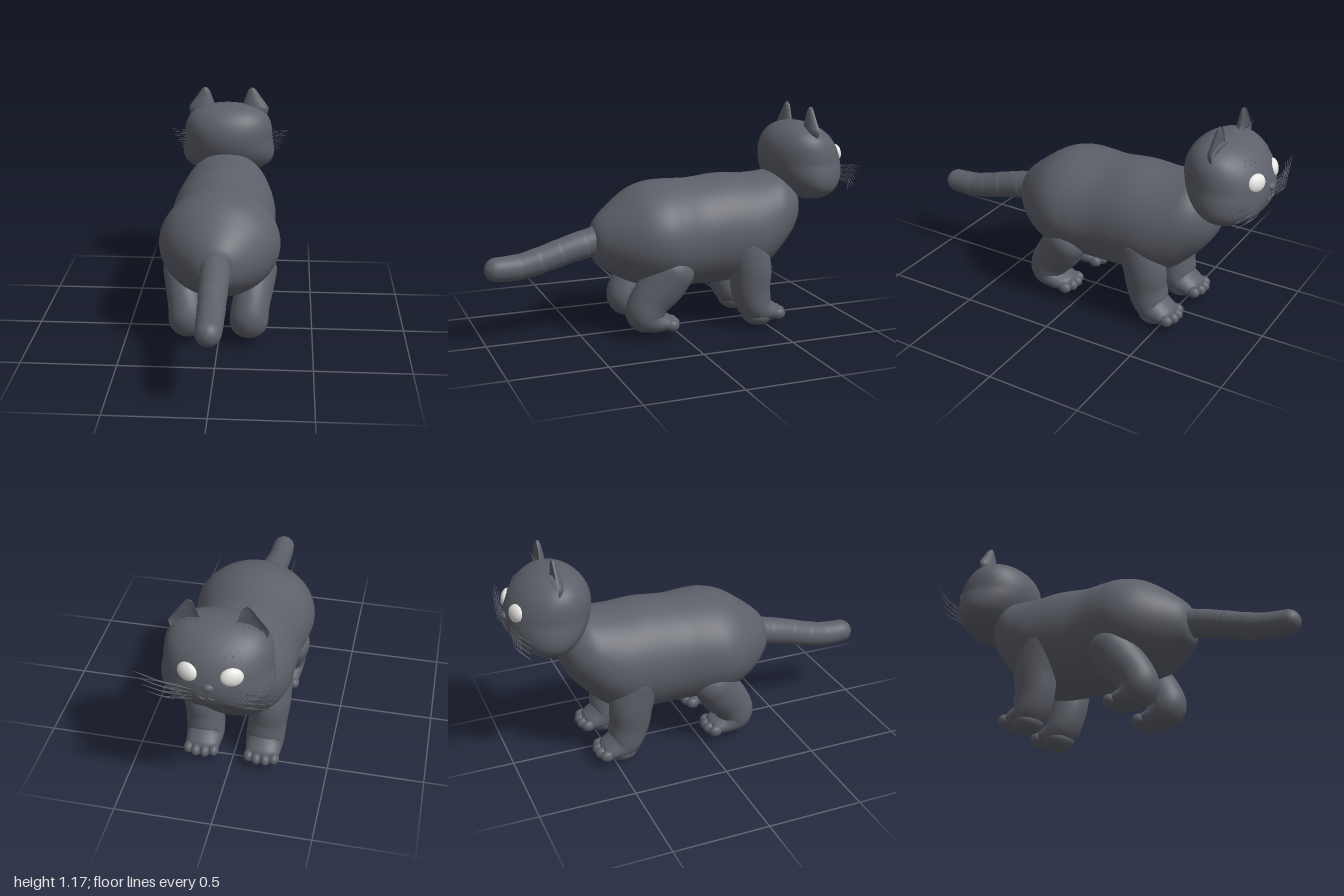
import * as THREE from 'three';

const fur = new THREE.MeshStandardMaterial({ color: 0x5d6069 });
fur.name = 'slateFur';
const white = new THREE.MeshStandardMaterial({ color: 0xe6e5e2 });
white.name = 'eyeWhite';

const V3 = (x, y, z) => new THREE.Vector3(x, y, z);

function add(parent, name, geometry, material = fur) {
  const mesh = new THREE.Mesh(geometry, material);
  mesh.name = name;
  parent.add(mesh);
  return mesh;
}

// Smooth skin over elliptical sections [x, y, z, halfWidth, halfDepth].
// axis fixes the section plane, caps rounds the ends, scoop hollows one side.
function loft(sections, { axis, caps = true, scoop = false, steps = 6, sides = 36 } = {}) {
  const path = new THREE.CatmullRomCurve3(sections.map(s => V3(s[0], s[1], s[2])), false, 'catmullrom');
  const radii = new THREE.CatmullRomCurve3(sections.map(s => V3(s[3], s[4], 0)), false, 'catmullrom');
  const n = (sections.length - 1) * steps, rings = [];
  const ring = (t, shift, scale) => {
    const T = axis ? axis.clone() : path.getTangent(t);
    const r = radii.getPoint(t);
    const c = path.getPoint(t).addScaledVector(T, shift * Math.min(r.x, r.y));
    rings.push({ c, T, u: Math.max(r.x, 0) * scale, v: Math.max(r.y, 0) * scale });
  };
  const capSteps = 7;
  if (caps) for (let i = 0; i < capSteps; i++) {
    const a = i / capSteps * Math.PI / 2;
    ring(0, -Math.cos(a), Math.sin(a));
  }
  for (let i = 0; i <= n; i++) ring(i / n, 0, 1);
  if (caps) for (let i = capSteps - 1; i >= 0; i--) {
    const a = i / capSteps * Math.PI / 2;
    ring(1, Math.cos(a), Math.sin(a));
  }
  const pos = [], index = [];
  rings.forEach(({ c, T, u, v }, i) => {
    const X = V3(1, 0, 0).addScaledVector(T, -T.x).normalize();
    const Y = T.clone().cross(X);
    for (let j = 0; j < sides; j++) {
      const a = j / sides * Math.PI * 2;
      const s = Math.sin(a) * (scoop && Math.sin(a) > 0 ? -0.4 : 1);
      const p = c.clone().addScaledVector(X, u * Math.cos(a)).addScaledVector(Y, v * s);
      pos.push(p.x, p.y, p.z);
      if (i === rings.length - 1) continue;
      const k = (j + 1) % sides, A = i * sides + j, B = i * sides + k;
      index.push(A, B, A + sides, B, B + sides, A + sides);
    }
  });
  const g = new THREE.BufferGeometry();
  g.setAttribute('position', new THREE.Float32BufferAttribute(pos, 3));
  g.setIndex(index);
  g.computeVertexNormals();
  return g;
}

// Head shape: a ball with wide cheeks, leaning forward at the chin
const headY = 0.87, headR = 0.215;
const headWidth = u => 0.257 + 0.1 * u * u - 0.05 * Math.min(u, 0);
const headMid = u => -0.767 + 0.035 * u;
function headFront(x, y) {
  const u = (y - headY) / headR, w = x / headWidth(u);
  return headMid(u) - headR * Math.sqrt(Math.max(0, 1 - u * u - w * w));
}
function headGeometry() {
  const g = new THREE.SphereGeometry(1, 56, 40), p = g.attributes.position;
  for (let i = 0; i < p.count; i++) {
    const u = p.getY(i);
    p.setXYZ(i, p.getX(i) * headWidth(u), headY + headR * u, headMid(u) + headR * p.getZ(i));
  }
  g.computeVertexNormals();
  return g;
}

const tube = (points, r, n = 12) => new THREE.TubeGeometry(new THREE.CatmullRomCurve3(points), n, r, 6);

function ellipsoid(parent, name, at, size, material) {
  const m = add(parent, name, new THREE.SphereGeometry(1, 24, 16), material);
  m.position.set(...at);
  m.scale.set(...size);
  return m;
}

function createModel() {
  const cat = new THREE.Group();
  cat.name = 'cat';

  // Body: [z, top, bottom, half width]
  const profile = [
    [0.44, 0.505, 0.495, 0.005], [0.425, 0.58, 0.42, 0.075], [0.39, 0.635, 0.375, 0.135],
    [0.3, 0.71, 0.31, 0.225], [0.2, 0.775, 0.265, 0.292], [0.1, 0.803, 0.245, 0.32],
    [0, 0.807, 0.235, 0.31], [-0.12, 0.805, 0.23, 0.29], [-0.28, 0.82, 0.23, 0.29],
    [-0.42, 0.812, 0.245, 0.285], [-0.52, 0.815, 0.3, 0.265], [-0.6, 0.82, 0.375, 0.235],
    [-0.67, 0.785, 0.455, 0.185], [-0.715, 0.725, 0.535, 0.115], [-0.735, 0.64, 0.625, 0.01],
  ];
  add(cat, 'body', loft(profile.map(([z, t, b, w]) => [0, (t + b) / 2, z, w, (t - b) / 2]),
    { axis: V3(0, 0, -1), sides: 56, caps: false }));

  // Tail made of slightly overlapping bands
  const tailPath = new THREE.CatmullRomCurve3([V3(0, 0.515, 0.38), V3(0, 0.475, 0.55),
    V3(0, 0.432, 0.7), V3(0, 0.406, 0.82), V3(0, 0.403, 0.932)]);
  const tail = new THREE.Group();
  tail.name = 'tail';
  cat.add(tail);
  const cuts = [0, 0.17, 0.41, 0.61, 0.8, 1];
  for (let i = 0; i < 5; i++) {
    const sec = [0, 0.5, 1].map(k => {
      const t = cuts[i] + (cuts[i + 1] - cuts[i]) * k, p = tailPath.getPointAt(t);
      const r = 0.078 - 0.013 * t - 0.002 * k;
      return [p.x, p.y, p.z, r, r];
    });
    add(tail, 'tailBand', loft(sec, { sides: 28 }));
  }

  // Head, nose and mouth
  const head = new THREE.Group();
  head.name = 'head';
  cat.add(head);
  add(head, 'skull', headGeometry());
  ellipsoid(head, 'nose', [0, 0.86, -0.98], [0.028, 0.021, 0.02]);
  const onFace = (x, y, lift = 0) => V3(x, y, headFront(x, y) - lift);
  add(head, 'mouthCleft', tube([onFace(0, 0.85), onFace(0, 0.825), onFace(0, 0.805)], 0.004));

  for (const s of [1, -1]) {
    const side = s > 0 ? 'left' : 'right';

    // Eye
    const eye = ellipsoid(head, side + 'Eye', [s * 0.102, 0.908, -0.94], [0.056, 0.047, 0.03], white);
    eye.rotation.set(0.15, -s * 0.42, 0);

    // Mouth corner
    add(head, side + 'MouthCorner', tube([onFace(0, 0.805), onFace(s * 0.018, 0.793),
      onFace(s * 0.038, 0.8), onFace(s * 0.045, 0.812)], 0.004));

    // Ear, hollow toward the face
    const ear = [[0.15, 1.0, 0.07], [0.156, 1.045, 0.077], [0.15, 1.08, 0.064],
      [0.143, 1.115, 0.045], [0.138, 1.145, 0.029], [0.137, 1.16, 0.018], [0.137, 1.171, 0.003]];
    add(head, side + 'Ear', loft(ear.map(([x, y, w]) => [s * x, y, -0.765, w, 0.012 + w * 0.4]),
      { axis: V3(0, 1, 0), scoop: true, caps: false }));

    // Whiskers in fanned rows
    for (let row = 0; row < 4; row++) for (let k = 0; k < 4; k++) {
      const y = 0.835 - row * 0.022, x = 0.07 + k * 0.022;
      const endX = 0.355 - row * 0.018 - k * 0.012, endY = 0.87 - row * 0.036 - k * 0.009;
      add(head, side + 'Whisker', tube([onFace(s * x, y, -0.004),
        V3(s * (x + endX) / 2, (y + endY) / 2 + 0.006, -0.982 + k * 0.008),
        V3(s * endX, endY, -0.945 + k * 0.006)], 0.0013, 8));
    }

    // Brow and ear hairs
    for (let k = 0; k < 5; k++) {
      const x = s * (0.065 + k * 0.016), y = 0.99 + (k % 2) * 0.015;
      add(head, side + 'BrowHair', tube([onFace(x, y, -0.003), onFace(x * 1.08, y + 0.012, 0.012)], 0.0013, 2));
      add(head, side + 'EarHair', tube([V3(s * (0.105 + k * 0.02), 1.04, -0.76),
        V3(s * (0.1 + k * 0.025), 1.085, -0.785)], 0.0013, 2));
    }

    // Legs with toes
    const legs = {
      FrontLeg: { toe: [-0.57, 0.068], path: [[0.195, 0.46, -0.36, 0.09, 0.11], [0.182, 0.33, -0.4, 0.1, 0.115],
        [0.167, 0.21, -0.41, 0.1, 0.106], [0.16, 0.11, -0.445, 0.1, 0.092], [0.16, 0.075, -0.52, 0.09, 0.052]] },
      HindLeg: { toe: [0.045, 0.073], path: [[0.21, 0.36, 0.05, 0.095, 0.11], [0.19, 0.29, 0.1, 0.1, 0.118],
        [0.17, 0.21, 0.165, 0.1, 0.108], [0.162, 0.135, 0.195, 0.102, 0.1], [0.16, 0.095, 0.15, 0.095, 0.068],
        [0.16, 0.08, 0.085, 0.085, 0.045]] },
    };
    for (const [name, { toe, path }] of Object.entries(legs)) {
      const leg = new THREE.Group();
      leg.name = side + name;
      cat.add(leg);
      add(leg, 'limb', loft(path.map(([x, ...r]) => [s * x, ...r])));
      for (const dx of [-0.066, -0.023, 0.023, 0.066]) {
        const back = Math.abs(dx) > 0.05 ? 0.016 : 0;
        ellipsoid(leg, 'toe', [s * 0.16 + dx, toe[1], toe[0] + back], [0.027, 0.031, 0.036]);
      }
    }
    // Sole under the front paw
    ellipsoid(cat, side + 'FrontSole', [s * 0.16, 0.06, -0.455], [0.088, 0.06, 0.085]);
  }
  return cat;
}

export { createModel };
